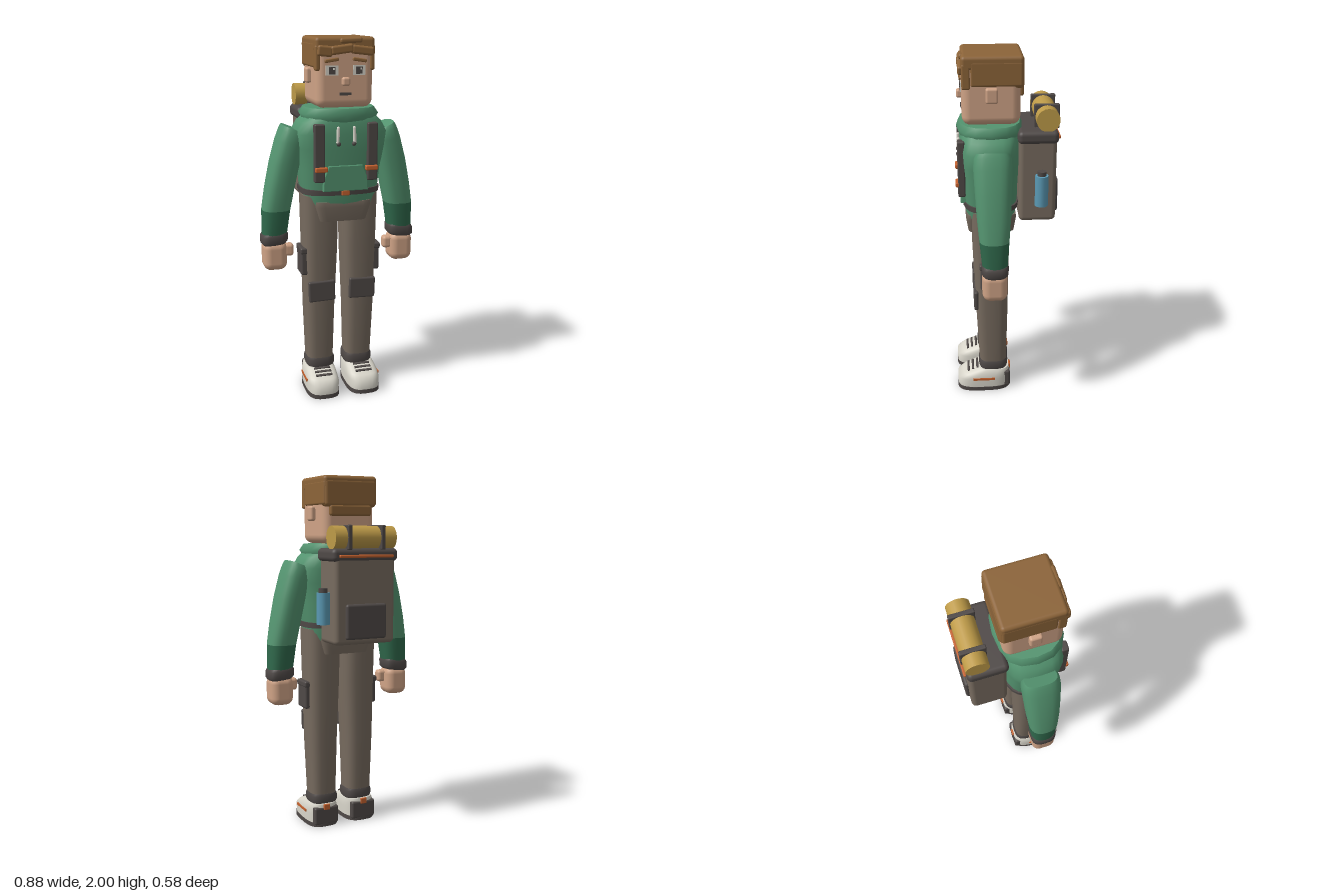
import * as THREE from 'three';
import { RoundedBoxGeometry } from 'three/addons/geometries/RoundedBoxGeometry.js';

const COLORS = {
  skin: 0xcfa386, hair: 0x8c6439, green: 0x549470, darkGreen: 0x30694c, canvas: 0x776b5f,
  charcoal: 0x4f4947, mustard: 0xbd9a48, blue: 0x5b9ab5, orange: 0xc4622f, white: 0xd8d5ca,
};

// Closed loft through rounded cross-sections, listed upwards: [y, cx, cz, halfX, halfZ, tilt]
function loft(sections, power = 2.6, seg = 24) {
  const pos = [], idx = [];
  const ring = ([y, cx, cz, hx, hz, tilt = 0]) => {
    const start = pos.length / 3;
    for (let j = 0; j < seg; j++) {
      const t = (j / seg) * Math.PI * 2, c = Math.cos(t), s = Math.sin(t);
      const x = Math.sign(c) * Math.abs(c) ** (2 / power) * hx;
      const z = Math.sign(s) * Math.abs(s) ** (2 / power) * hz;
      pos.push(cx + x, y + tilt * x, cz + z);
    }
    return start;
  };
  const rings = sections.map(ring);
  for (let i = 0; i < rings.length - 1; i++) {
    for (let j = 0; j < seg; j++) {
      const k = (j + 1) % seg, a = rings[i], b = rings[i + 1];
      idx.push(a + j, b + j, a + k, a + k, b + j, b + k);
    }
  }
  // separate end caps keep the rims sharp
  for (const [sec, top] of [[sections[0], false], [sections[sections.length - 1], true]]) {
    const r = ring(sec), c = pos.length / 3;
    pos.push(sec[1], sec[0], sec[2]);
    for (let j = 0; j < seg; j++) {
      const k = (j + 1) % seg;
      if (top) idx.push(c, r + k, r + j); else idx.push(c, r + j, r + k);
    }
  }
  const g = new THREE.BufferGeometry();
  g.setAttribute('position', new THREE.Float32BufferAttribute(pos, 3));
  g.setIndex(idx);
  g.computeVertexNormals();
  return g;
}

export function createModel() {
  const root = new THREE.Group();
  root.name = 'hiker';
  const mats = {};
  for (const [name, color] of Object.entries(COLORS)) {
    mats[name] = new THREE.MeshStandardMaterial({ color });
    mats[name].name = name;
  }
  const add = (name, geo, mat, p = [0, 0, 0], r = [0, 0, 0]) => {
    const m = new THREE.Mesh(geo, mats[mat]);
    m.name = name;
    m.position.set(...p);
    m.rotation.set(...r);
    root.add(m);
    return m;
  };
  const block = (name, mat, size, p, radius = 0.01, r) =>
    add(name, new RoundedBoxGeometry(...size, 3, Math.min(radius, Math.min(...size) * 0.49)), mat, p, r);
  const plate = (name, mat, size, p, r) => add(name, new THREE.BoxGeometry(...size), mat, p, r);

  // Head and face
  block('head', 'skin', [0.31, 0.34, 0.306], [0, 1.807, 0.076], 0.045);
  add('neck', new THREE.CylinderGeometry(0.09, 0.1, 0.12, 20), 'skin', [0, 1.62, 0.075]);
  block('nose', 'skin', [0.042, 0.045, 0.04], [0, 1.775, 0.235], 0.012);
  plate('mouth', 'charcoal', [0.062, 0.014, 0.008], [0, 1.711, 0.23]);

  // Hair
  block('hairTop', 'hair', [0.32, 0.075, 0.322], [0, 1.9625, 0.069], 0.02);
  block('hairBack', 'hair', [0.314, 0.15, 0.06], [0, 1.908, -0.064], 0.02);
  block('hairNape', 'hair', [0.25, 0.06, 0.03], [0, 1.815, -0.079], 0.013);
  block('fringeLeft', 'hair', [0.12, 0.045, 0.03], [0.09, 1.932, 0.232], 0.012, [0, 0, -0.12]);
  block('fringeMiddle', 'hair', [0.12, 0.045, 0.03], [-0.02, 1.938, 0.234], 0.012, [0, 0, 0.12]);
  block('fringeRight', 'hair', [0.08, 0.055, 0.03], [-0.11, 1.93, 0.23], 0.012, [0, 0, -0.1]);
  block('cowlick', 'hair', [0.12, 0.028, 0.045], [0.03, 1.982, 0.217], 0.012, [0, 0, 0.04]);

  // Hooded jacket
  add('torso', loft([
    [1.1, 0, 0.08, 0.19, 0.135], [1.17, 0, 0.08, 0.212, 0.145], [1.3, 0, 0.083, 0.225, 0.152],
    [1.42, 0, 0.085, 0.25, 0.16], [1.5, 0, 0.085, 0.262, 0.162], [1.56, 0, 0.085, 0.225, 0.16],
    [1.59, 0, 0.085, 0.19, 0.15],
  ], 3), 'green');
  add('collar', loft([
    [1.565, 0, 0.08, 0.195, 0.165], [1.6, 0, 0.08, 0.215, 0.18], [1.635, 0, 0.08, 0.19, 0.165],
  ], 2.5, 16), 'green');
  const pocket = new THREE.Shape();
  [[-0.12, 1.2], [0.12, 1.2], [0.115, 1.27], [0.09, 1.33], [-0.09, 1.33], [-0.115, 1.27]]
    .forEach(([x, y], i) => (i ? pocket.lineTo(x, y) : pocket.moveTo(x, y)));
  add('frontPocket', new THREE.ExtrudeGeometry(pocket, {
    depth: 0.03, bevelSize: 0.004, bevelThickness: 0.004, bevelSegments: 2,
  }), 'green', [0, 0, 0.212]);
  add('hipBelt', loft([[1.17, 0, 0.08, 0.222, 0.153], [1.2, 0, 0.08, 0.222, 0.155]], 3), 'charcoal');
  block('beltBuckle', 'orange', [0.045, 0.03, 0.02], [0, 1.185, 0.237], 0.006);

  // Trousers seat
  add('trouserSeat', loft([
    [1.02, 0, 0.08, 0.135, 0.128], [1.1, 0, 0.08, 0.158, 0.14], [1.13, 0, 0.08, 0.16, 0.136],
  ], 7), 'canvas');

  for (const s of [-1, 1]) {
    const side = s > 0 ? 'left' : 'right';
    const mirror = (rows) => rows.map(([y, x, z, hx, hz, t = 0]) => [y, x * s, z, hx, hz, t * s]);

    // Ears, eyes, brows, sideburns
    block(side + 'Ear', 'skin', [0.035, 0.08, 0.064], [s * 0.163, 1.8, 0.074], 0.012);
    plate(side + 'EyeWhite', 'white', [0.066, 0.05, 0.008], [s * 0.073, 1.832, 0.229]);
    plate(side + 'Pupil', 'charcoal', [0.034, 0.036, 0.008], [s * 0.073, 1.831, 0.233]);
    plate(side + 'EyeGlint', 'white', [0.009, 0.009, 0.003], [s * 0.073 + 0.009, 1.84, 0.2375]);
    block(side + 'Brow', 'hair', [0.075, 0.018, 0.018], [s * 0.075, 1.884, 0.232], 0.006, [0, 0, -s * 0.15]);
    block(side + 'HairSide', 'hair', [0.03, 0.13, 0.27], [s * 0.146, 1.908, 0.048], 0.013);
    block(side + 'Sideburn', 'hair', [0.026, 0.13, 0.045], [s * 0.147, 1.895, 0.205], 0.01);

    // Sleeve, cuff and hand
    add(side + 'Sleeve', loft(mirror([
      [1.08, 0.352, 0.076, 0.078, 0.08], [1.2, 0.33, 0.076, 0.081, 0.09], [1.34, 0.3, 0.077, 0.082, 0.097],
      [1.45, 0.272, 0.077, 0.075, 0.102, 0.2], [1.5, 0.262, 0.077, 0.063, 0.098, 0.35],
      [1.525, 0.262, 0.077, 0.05, 0.085, 0.4],
    ])), 'green');
    add(side + 'SleeveEnd', loft(mirror([
      [0.93, 0.364, 0.074, 0.068, 0.068], [1.08, 0.352, 0.076, 0.078, 0.08],
    ])), 'darkGreen');
    add(side + 'Cuff', loft(mirror([
      [0.885, 0.366, 0.074, 0.062, 0.062, -0.1], [0.9, 0.366, 0.074, 0.074, 0.072, -0.1],
      [0.935, 0.365, 0.074, 0.075, 0.073, -0.1], [0.95, 0.364, 0.074, 0.066, 0.066, -0.1],
    ]), 3.2), 'charcoal');
    block(side + 'Hand', 'skin', [0.132, 0.165, 0.135], [s * 0.366, 0.82, 0.076], 0.042);
    block(side + 'Thumb', 'skin', [0.055, 0.07, 0.055], [s * 0.288, 0.846, 0.09], 0.018);

    // Trouser leg with pads and pouch
    add(side + 'Leg', loft(mirror([
      [0.15, 0.113, 0.076, 0.076, 0.078], [0.5, 0.115, 0.08, 0.087, 0.09],
      [0.85, 0.111, 0.083, 0.098, 0.1], [1.16, 0.111, 0.083, 0.104, 0.108],
    ]), 3), 'canvas');
    add(side + 'AnkleBand', loft(mirror([
      [0.13, 0.112, 0.076, 0.078, 0.08], [0.145, 0.112, 0.076, 0.084, 0.085],
      [0.175, 0.112, 0.076, 0.084, 0.085], [0.19, 0.112, 0.076, 0.078, 0.08],
    ]), 3), 'charcoal');
    block(side + 'KneePad', 'charcoal', [0.152, 0.12, 0.025], [s * 0.117, 0.61, 0.172], 0.01, [0, 0, -s * 0.03]);
    block(side + 'ThighPouch', 'charcoal', [0.045, 0.15, 0.115], [s * 0.205, 0.775, 0.09], 0.012);
    block(side + 'PouchFlap', 'charcoal', [0.05, 0.035, 0.125], [s * 0.206, 0.843, 0.09], 0.01);

    // Shoe
    add(side + 'Sole', loft(mirror([
      [0, 0.12, 0.134, 0.096, 0.156], [0.024, 0.12, 0.134, 0.096, 0.156],
    ]), 3.2, 32), 'charcoal');
    add(side + 'ShoeUpper', loft(mirror([
      [0.024, 0.12, 0.134, 0.093, 0.154], [0.075, 0.12, 0.134, 0.094, 0.154],
      [0.1, 0.12, 0.118, 0.091, 0.138], [0.122, 0.118, 0.093, 0.085, 0.112], [0.135, 0.117, 0.077, 0.077, 0.093],
    ]), 3.2, 32), 'white');
    block(side + 'HeelCounter', 'charcoal', [0.15, 0.105, 0.05], [s * 0.12, 0.065, 0.003], 0.012);
    block(side + 'HeelTab', 'orange', [0.04, 0.035, 0.014], [s * 0.12, 0.118, -0.02], 0.005);
    plate(side + 'ShoeStripe', 'orange', [0.009, 0.014, 0.13], [s * 0.212, 0.08, 0.135]);
    for (let i = 0; i < 3; i++) {
      plate(side + 'Lace', 'charcoal', [0.095, 0.009, 0.012], [s * 0.118, 0.135 - i * 0.01, 0.172 + i * 0.026], [0.4, 0, 0]);
    }

    // Shoulder strap, buckle and drawstring
    block(side + 'Strap', 'charcoal', [0.056, 0.31, 0.04], [s * 0.145, 1.405, 0.238], 0.008);
    block(side + 'StrapBuckle', 'orange', [0.068, 0.027, 0.03], [s * 0.138, 1.32, 0.256], 0.007);
    add(side + 'Drawstring', new THREE.CapsuleGeometry(0.009, 0.075, 4, 10), 'white', [s * 0.045, 1.498, 0.25], [0, 0, s * 0.04]);
    add(side + 'DrawstringTip', new THREE.SphereGeometry(0.012, 10, 8), 'charcoal', [s * 0.042, 1.452, 0.252]);
  }

  // Backpack
  block('packBody', 'canvas', [0.36, 0.48, 0.2], [0, 1.34, -0.168], 0.025);
  block('packLid', 'charcoal', [0.39, 0.07, 0.215], [0, 1.578, -0.168], 0.025);
  block('packPocket', 'charcoal', [0.24, 0.19, 0.035], [0, 1.225, -0.268], 0.014);
  block('lidTrim', 'orange', [0.32, 0.016, 0.02], [0, 1.572, -0.278], 0.006);

  // Water bottle
  add('bottle', new THREE.CylinderGeometry(0.036, 0.036, 0.17, 10), 'blue', [0.212, 1.295, -0.185]);
  add('bottleCap', new THREE.CylinderGeometry(0.024, 0.024, 0.025, 10), 'charcoal', [0.212, 1.391, -0.185]);

  // Bedroll with two straps
  add('bedroll', new THREE.CylinderGeometry(0.062, 0.062, 0.36, 20), 'mustard', [0, 1.669, -0.218], [0, 0, Math.PI / 2]);
  for (const s of [-1, 1]) block('bedrollStrap', 'charcoal', [0.025, 0.13, 0.135], [s * 0.098, 1.67, -0.218], 0.006);

  return root;
}
